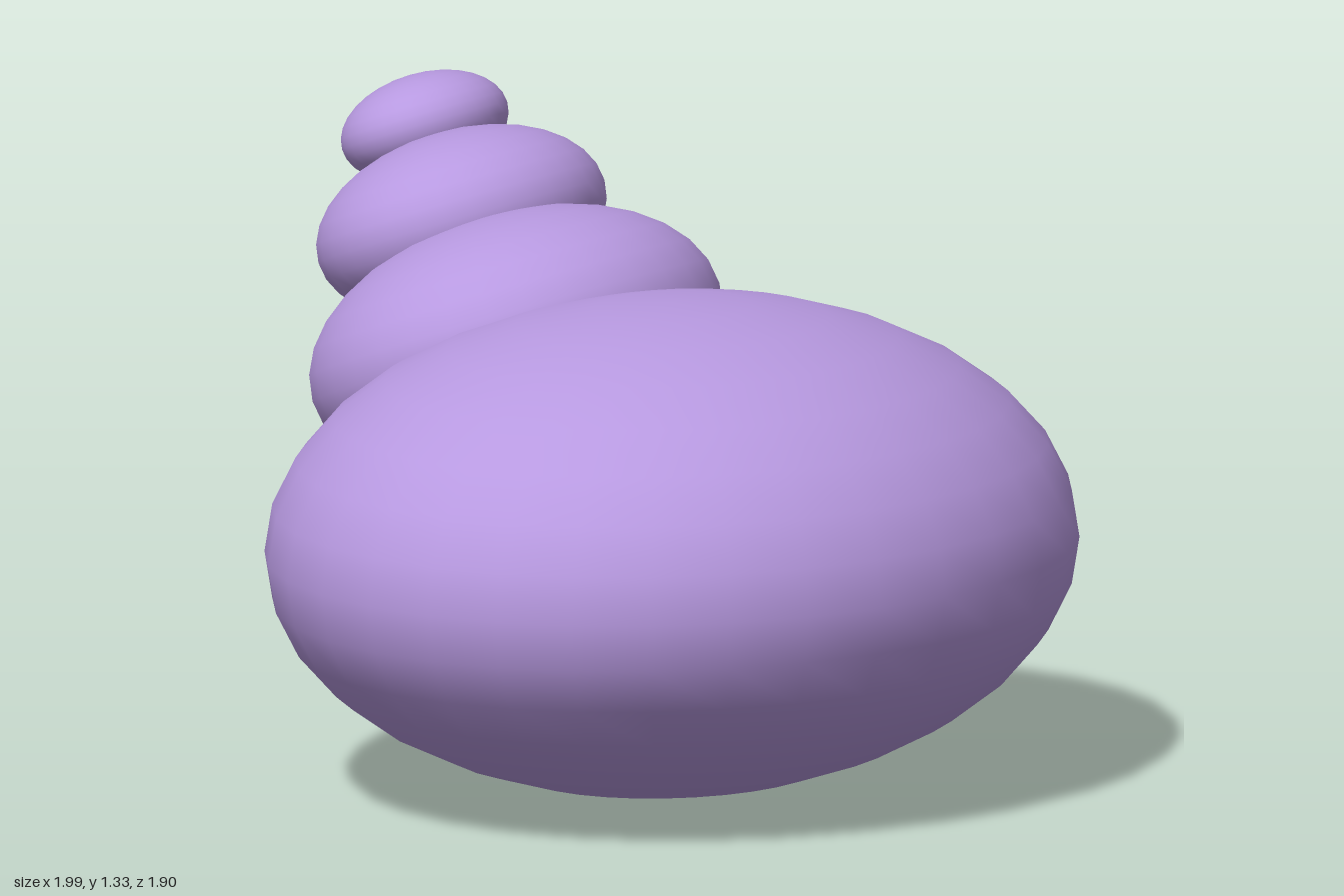
import * as THREE from 'three';

// Spiral shell: one large body whorl and three shrinking, tilted spire whorls
export function createModel() {
  const shell = new THREE.Group();
  shell.name = 'shell';
  const material = new THREE.MeshStandardMaterial({ color: 0xb799e0 });
  const sphere = new THREE.SphereGeometry(1, 32, 16);

  // Every whorl shares the same flattened proportions
  function whorl(name, size, position, tilt) {
    const mesh = new THREE.Mesh(sphere, material);
    mesh.name = name;
    mesh.scale.set(0.86 * size, 0.545 * size, size);
    mesh.position.set(...position);
    mesh.rotation.set(...tilt);
    shell.add(mesh);
  }

  const spireTilt = [-0.08, 0.15, 0.36];
  whorl('bodyWhorl', 0.95, [0.18, 0.52, 0], [0, 0, 0]);
  whorl('lowerSpireWhorl', 0.505, [-0.405, 0.84, -0.305], spireTilt);
  whorl('middleSpireWhorl', 0.355, [-0.65, 1.045, -0.475], spireTilt);
  whorl('tipWhorl', 0.205, [-0.825, 1.21, -0.605], spireTilt);
  return shell;
}
